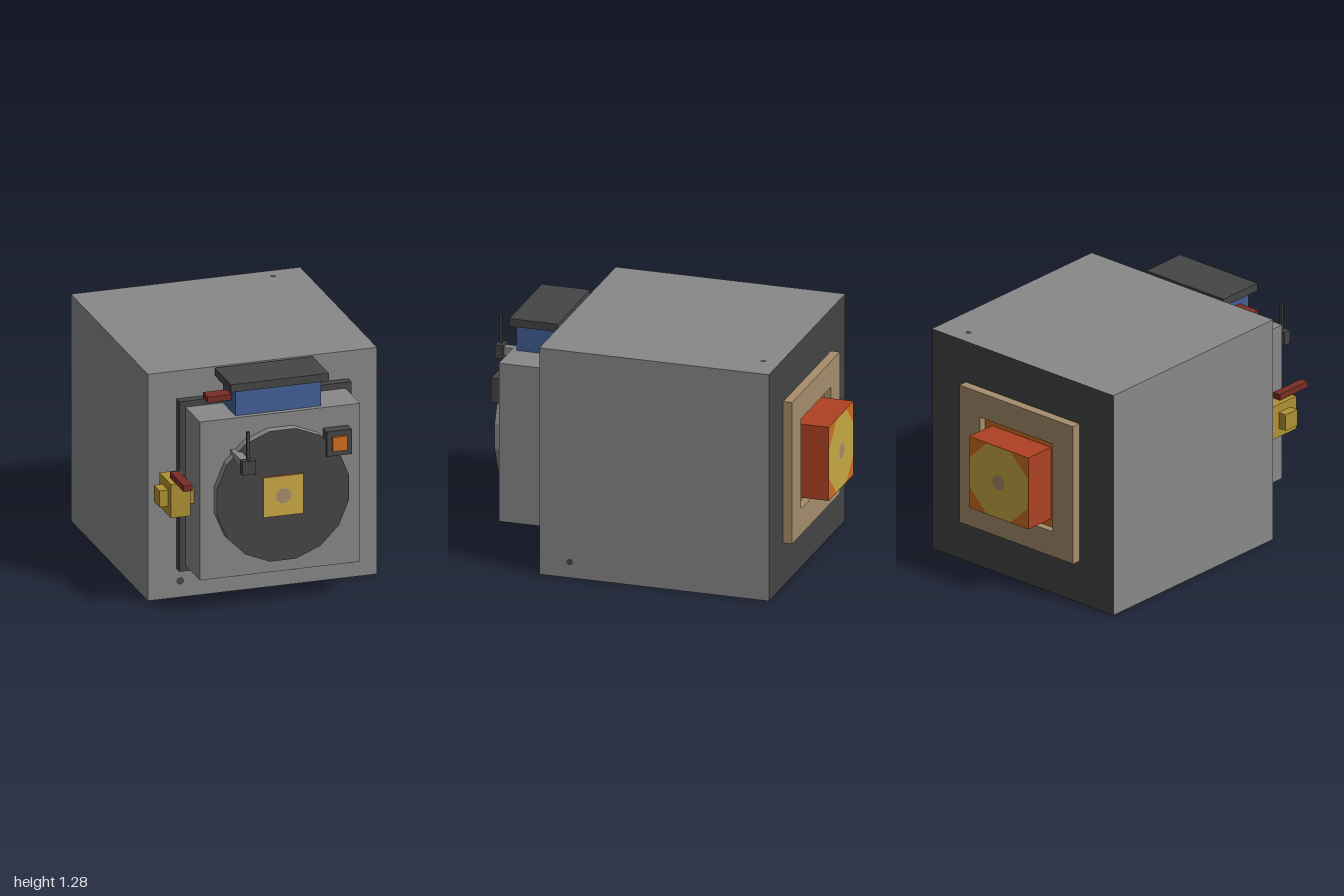
import * as THREE from 'three';

const mat = (name, color) => {
  const m = new THREE.MeshStandardMaterial({ color });
  m.name = name;
  return m;
};

export function createModel() {
  const grey = mat('steel grey', 0x888888);
  const dark = mat('dark iron', 0x454545);
  const blue = mat('blue', 0x425f95);
  const darkRed = mat('dark red', 0x7a2d25);
  const red = mat('red', 0xae4122);
  const orange = mat('orange', 0xcf6d20);
  const brass = mat('brass', 0xae9233);
  const gold = mat('gold', 0xcaa945);
  const tan = mat('tan', 0xa68e6c);

  const model = new THREE.Group();
  model.name = 'machineBlock';

  const add = (parent, name, geometry, material) => {
    const mesh = new THREE.Mesh(geometry, material);
    mesh.name = name;
    parent.add(mesh);
    return mesh;
  };
  // Box given by its lower and upper limits on each axis
  const box = (parent, name, material, [x0, x1], [y0, y1], [z0, z1]) => {
    const mesh = add(parent, name, new THREE.BoxGeometry(x1 - x0, y1 - y0, z1 - z0), material);
    mesh.position.set((x0 + x1) / 2, (y0 + y1) / 2, (z0 + z1) / 2);
    return mesh;
  };
  const group = (name) => {
    const g = new THREE.Group();
    g.name = name;
    model.add(g);
    return g;
  };
  // Flat many-sided spot facing +z, or -z when turned
  const spot = (parent, name, material, r, x, y, z, sides = 8, back = false) => {
    const geo = new THREE.CircleGeometry(r, sides, Math.PI / sides);
    const mesh = add(parent, name, geo, material);
    mesh.position.set(x, y, z);
    if (back) mesh.rotation.y = Math.PI;
    return mesh;
  };
  const CY = 0.643;

  // Main body: grey on all sides except the dark back (last face group)
  box(model, 'body', [grey, grey, grey, grey, grey, dark], [-0.64, 0.64], [0, 1.28], [-0.81, 0.47]);

  // Row of small bolts along the bottom of the front
  const bolts = group('bolts');
  [-0.46, -0.14, 0.18, 0.5].forEach((x, i) =>
    spot(bolts, 'bolt', dark, i ? 0.014 : 0.022, x, 0.093, 0.472));
  const sideBolt = spot(bolts, 'sideBolt', dark, 0.018, 0.642, 0.09, 0.3);
  sideBolt.rotation.y = Math.PI / 2;
  const topBolt = spot(bolts, 'topBolt', dark, 0.018, 0.46, 1.282, -0.72);
  topBolt.rotation.x = -Math.PI / 2;

  // Front door: dark frame, then a thick grey panel
  box(model, 'doorFrame', dark, [-0.48, 0.48], [0.163, 1.123], [0.47, 0.52]);
  box(model, 'doorPanel', grey, [-0.447, 0.447], [0.196, 1.09], [0.52, 0.76]);

  // Sixteen-sided disc with a grey rim and dark face
  const discGeo = new THREE.CylinderGeometry(0.375, 0.375, 0.05, 16, 1);
  discGeo.rotateY(Math.PI / 16).rotateX(Math.PI / 2);
  const flatDisc = discGeo.toNonIndexed();
  flatDisc.computeVertexNormals();
  discGeo.groups.forEach((g) => flatDisc.addGroup(g.start, g.count, g.materialIndex));
  add(model, 'disc', flatDisc, [grey, dark, dark]).position.set(0, CY, 0.785);

  // Gold hub on the disc
  box(model, 'hub', [orange, orange, orange, orange, gold, orange],
    [-0.112, 0.112], [0.531, 0.755], [0.81, 0.822]);
  spot(model, 'hubCentre', tan, 0.044, 0, CY, 0.824);

  // Signal lamp
  const lamp = group('lamp');
  box(lamp, 'lampHousing', dark, [0.24, 0.38], [0.835, 0.975], [0.76, 0.825]);
  box(lamp, 'lampLens', orange, [0.27, 0.35], [0.865, 0.945], [0.825, 0.84]);

  // Blue hopper with a dark lid and a lever on its side
  const hopper = group('hopper');
  box(hopper, 'hopperBody', blue, [-0.238, 0.238], [1.09, 1.236], [0.525, 0.73]);
  box(hopper, 'hopperLid', dark, [-0.273, 0.273], [1.236, 1.28], [0.49, 0.76]);
  box(hopper, 'hopperLever', darkRed, [-0.37, -0.238], [1.154, 1.186], [0.58, 0.66]);

  // Rod with a dark knob and upright pin
  const latch = group('latch');
  box(latch, 'latchRod', grey, [-0.275, -0.229], [0.87, 0.914], [0.76, 0.957]);
  box(latch, 'latchKnob', dark, [-0.29, -0.213], [0.853, 0.93], [0.957, 1]);
  box(latch, 'latchPin', dark, [-0.259, -0.244], [0.93, 1.09], [0.971, 0.986]);

  // Brass valve with a red handle
  const valve = group('valve');
  box(valve, 'valvePipe', brass, [-0.64, -0.447], [0.597, 0.69], [0.57, 0.663]);
  box(valve, 'valveBody', brass, [-0.592, -0.483], [0.547, 0.737], [0.52, 0.71]);
  box(valve, 'valveHandle', darkRed, [-0.563, -0.515], [0.737, 0.77], [0.61, 0.837]);

  // Back flange with a square opening
  const square = (shape, h) => shape.moveTo(-h, -h).lineTo(h, -h).lineTo(h, h).lineTo(-h, h).closePath();
  const flange = square(new THREE.Shape(), 0.4);
  flange.holes.push(square(new THREE.Path(), 0.255));
  const flangeGeo = new THREE.ExtrudeGeometry(flange, { depth: 0.05, bevelEnabled: false });
  add(model, 'backFlange', flangeGeo, tan).position.set(0, CY, -0.86);
  box(model, 'flangeInset', orange, [-0.255, 0.255], [CY - 0.255, CY + 0.255], [-0.82, -0.811]);

  // Red outlet block: orange end face with a gold octagon and tan centre
  box(model, 'outlet', [red, red, red, red, red, orange],
    [-0.208, 0.208], [CY - 0.208, CY + 0.208], [-1, -0.82]);
  spot(model, 'outletFace', gold, 0.222, 0, CY, -1.002, 8, true);
  spot(model, 'outletCentre', tan, 0.044, 0, CY, -1.004, 8, true);

  return model;
}
